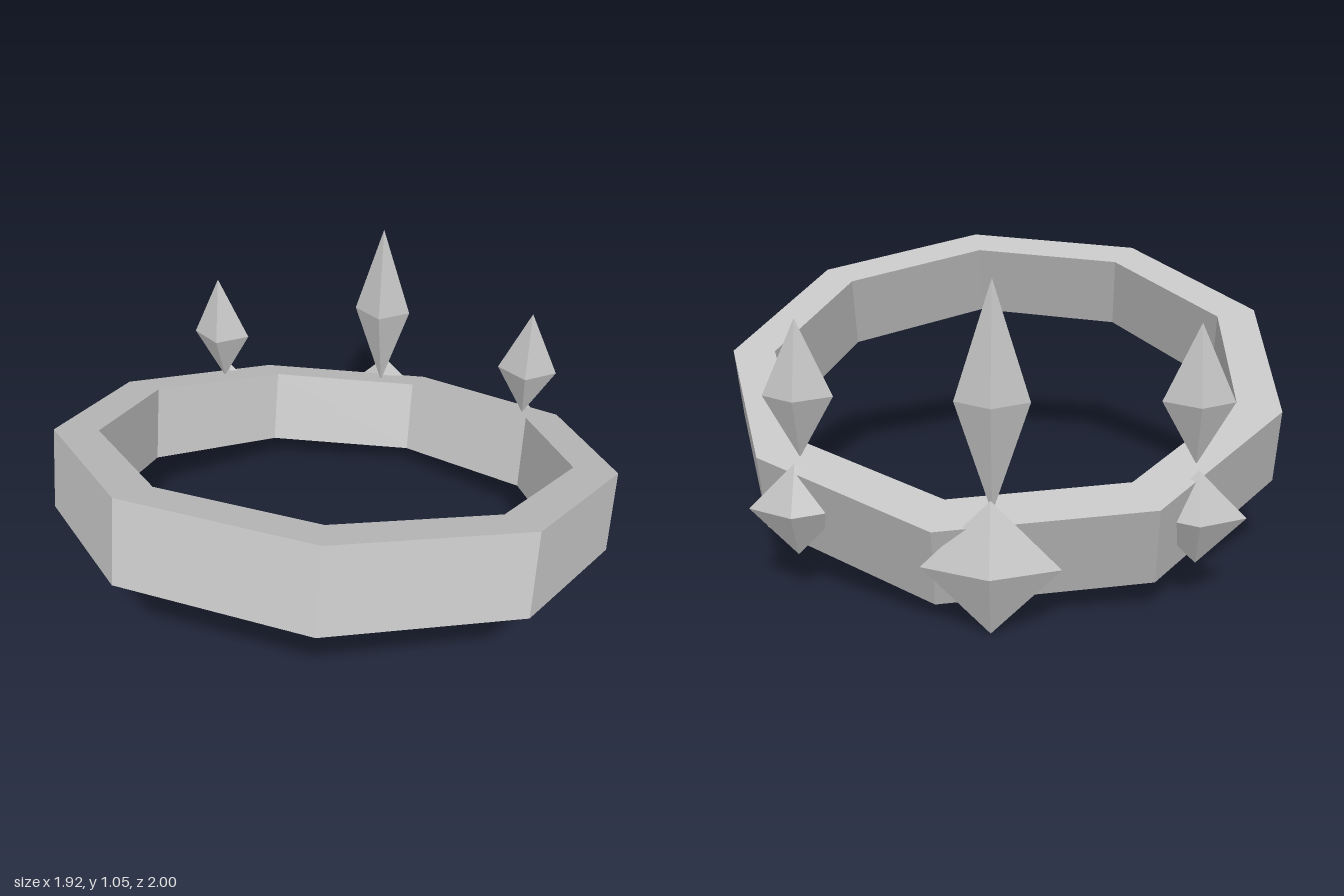
import * as THREE from 'three';

const SIDES = 9;
const CENTER_X = -0.031;

// Regular polygon outline with one corner on +x
function polygon(radius, target) {
  const pts = [];
  for (let i = 0; i < SIDES; i++) {
    const a = (i / SIDES) * Math.PI * 2;
    pts.push(new THREE.Vector2(Math.cos(a) * radius, Math.sin(a) * radius));
  }
  return target.setFromPoints(pts);
}

// Four-sided crystal with its own height above and depth below the waist
function crystalGeometry(halfX, halfZ, up, down) {
  const geo = new THREE.OctahedronGeometry(1);
  const p = geo.attributes.position;
  for (let i = 0; i < p.count; i++) {
    const y = p.getY(i);
    p.setXYZ(i, p.getX(i) * halfX, y * (y > 0 ? up : down), p.getZ(i) * halfZ);
  }
  geo.computeVertexNormals();
  return geo;
}

export function createModel() {
  const model = new THREE.Group();
  model.name = 'spikedCirclet';
  const silver = new THREE.MeshStandardMaterial({ color: 0xc4c4c4, flatShading: true });
  silver.name = 'silver grey';

  // Tilted nine-sided band, raised at the front
  const height = 0.285;
  const outline = polygon(0.988, new THREE.Shape());
  outline.holes.push(polygon(0.836, new THREE.Path()));
  const bandGeo = new THREE.ExtrudeGeometry(outline, { depth: height, bevelEnabled: false });
  bandGeo.translate(0, 0, -height / 2);
  bandGeo.rotateX(-Math.PI / 2);
  const band = new THREE.Mesh(bandGeo, silver);
  band.name = 'band';
  band.rotation.x = THREE.MathUtils.degToRad(-18.4);
  band.position.set(CENTER_X, 0.503, 0.03);
  model.add(band);

  function addCrystal(name, x, y, z, halfX, halfZ, up, down) {
    const mesh = new THREE.Mesh(crystalGeometry(halfX, halfZ, up, down), silver);
    mesh.name = name;
    mesh.position.set(CENTER_X + x, y, z);
    model.add(mesh);
  }

  // Tall middle spike and the broad gem behind it
  addCrystal('middleSpike', 0, 0.695, -0.838, 0.112, 0.076, 0.36, 0.34);
  addCrystal('middleGem', 0, 0.212, -0.915, 0.208, 0.085, 0.21, 0.208);

  // Shorter mirrored spikes and gems
  for (const [side, s] of [['left', 1], ['right', -1]]) {
    addCrystal(side + 'Spike', s * 0.62, 0.638, -0.605, 0.112, 0.076, 0.247, 0.2);
    addCrystal(side + 'Gem', s * 0.62, 0.292, -0.683, 0.15, 0.08, 0.152, 0.15);
  }
  return model;
}
